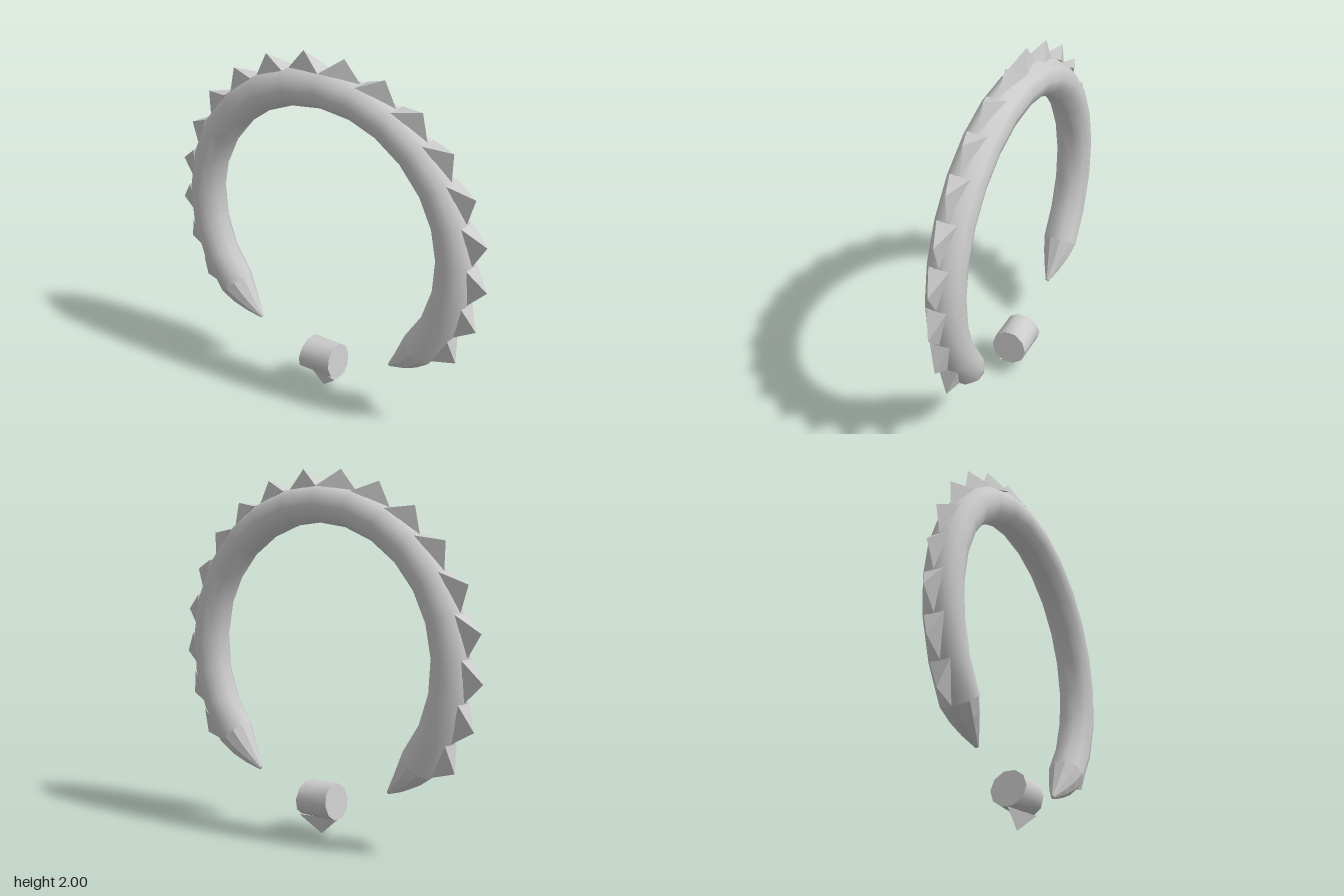
import * as THREE from 'three';

const STEP = (Math.PI * 2) / 25; // one ring segment
const CY = 1.009;                // height of the ring centre
const MAJOR = 0.8135;
const MINOR = 0.1025;
const SIDES = 10;

// Point at an angle measured from the top of the ring towards +x
const at = (a, radius, z = 0) =>
  new THREE.Vector3(radius * Math.sin(a), CY + radius * Math.cos(a), z);

const grey = (flatShading) => new THREE.MeshStandardMaterial({ color: 0xcccccc, flatShading });

function addMesh(parent, name, points, index, flat) {
  let geo = new THREE.BufferGeometry().setFromPoints(points);
  geo.setIndex(index);
  if (flat) geo = geo.toNonIndexed();
  geo.computeVertexNormals();
  const mesh = new THREE.Mesh(geo, grey(flat));
  mesh.name = name;
  parent.add(mesh);
}

// Cross-section of the tube: angle, tube radius, distance from the ring centre
const section = ([a, r, major = MAJOR]) =>
  Array.from({ length: SIDES }, (_, j) => {
    const phi = ((j + 0.5) / SIDES) * Math.PI * 2;
    return at(a, major + r * Math.cos(phi), r * Math.sin(phi));
  });

// Skin over a list of sections, given in order of rising angle
function addTube(parent, name, sections, flat) {
  const index = [];
  for (let i = 0; i < sections.length - 1; i++) {
    for (let j = 0; j < SIDES; j++) {
      const k = (j + 1) % SIDES;
      const a = i * SIDES + j, b = i * SIDES + k;
      index.push(a, b, a + SIDES, b, b + SIDES, a + SIDES);
    }
  }
  addMesh(parent, name, sections.flatMap(section), index, flat);
}

// Flat end disc; facing is +1 towards rising angle, -1 the other way
function addCap(parent, name, sec, facing) {
  const index = [];
  for (let j = 1; j < SIDES - 1; j++) {
    index.push(0, ...(facing > 0 ? [j, j + 1] : [j + 1, j]));
  }
  addMesh(parent, name, section(sec), index, true);
}

// Spike: broad edge at a0, narrowing to a point at a1, peak halfway between
function addSpike(parent, name, a0, a1) {
  const w = a1 > a0 ? 0.056 : -0.056;
  const points = [
    at(a0, 0.909, w), at(a0, 0.909, -w), at(a1, 0.909), at((a0 + a1) / 2, 1.004),
  ];
  addMesh(parent, name, points, [0, 2, 3, 2, 1, 3, 1, 0, 3, 0, 1, 2], true);
}

export function createModel() {
  const group = new THREE.Group();

  // Open ring
  const ring = [];
  for (let i = -9; i <= 9; i++) ring.push([i * STEP, MINOR]);
  addTube(group, 'ring', ring, false);

  // Faceted, tapering ends
  const deg = Math.PI / 180;
  const tip = [
    [9 * STEP, MINOR],
    [135.5 * deg, 0.08, 0.816],
    [141.5 * deg, 0.048, 0.819],
    [147.6 * deg, 0.01, 0.826],
  ];
  const mirrored = tip.map(([a, r, m]) => [-a, r, m]).reverse();
  addTube(group, 'leftTip', tip, true);
  addCap(group, 'leftTipEnd', tip[3], 1);
  addTube(group, 'rightTip', mirrored, true);
  addCap(group, 'rightTipEnd', mirrored[0], -1);

  // Spikes along the outer edge, mirrored
  for (const side of [1, -1]) {
    const spikes = new THREE.Group();
    spikes.name = side > 0 ? 'leftSpikes' : 'rightSpikes';
    for (let k = 0; k < 9; k++) {
      addSpike(spikes, 'spike', side * k * STEP, side * (k + 1) * STEP);
    }
    group.add(spikes);
  }

  // Loose segment at the bottom with its own spike
  const bead = new THREE.Group();
  bead.name = 'bottomSegment';
  const start = [12 * STEP, MINOR], end = [13 * STEP, MINOR];
  addTube(bead, 'segmentBody', [start, end], false);
  addCap(bead, 'segmentEnd', start, -1);
  addCap(bead, 'segmentEnd', end, 1);
  addSpike(bead, 'segmentSpike', 12 * STEP, 13 * STEP);
  group.add(bead);

  return group;
}
